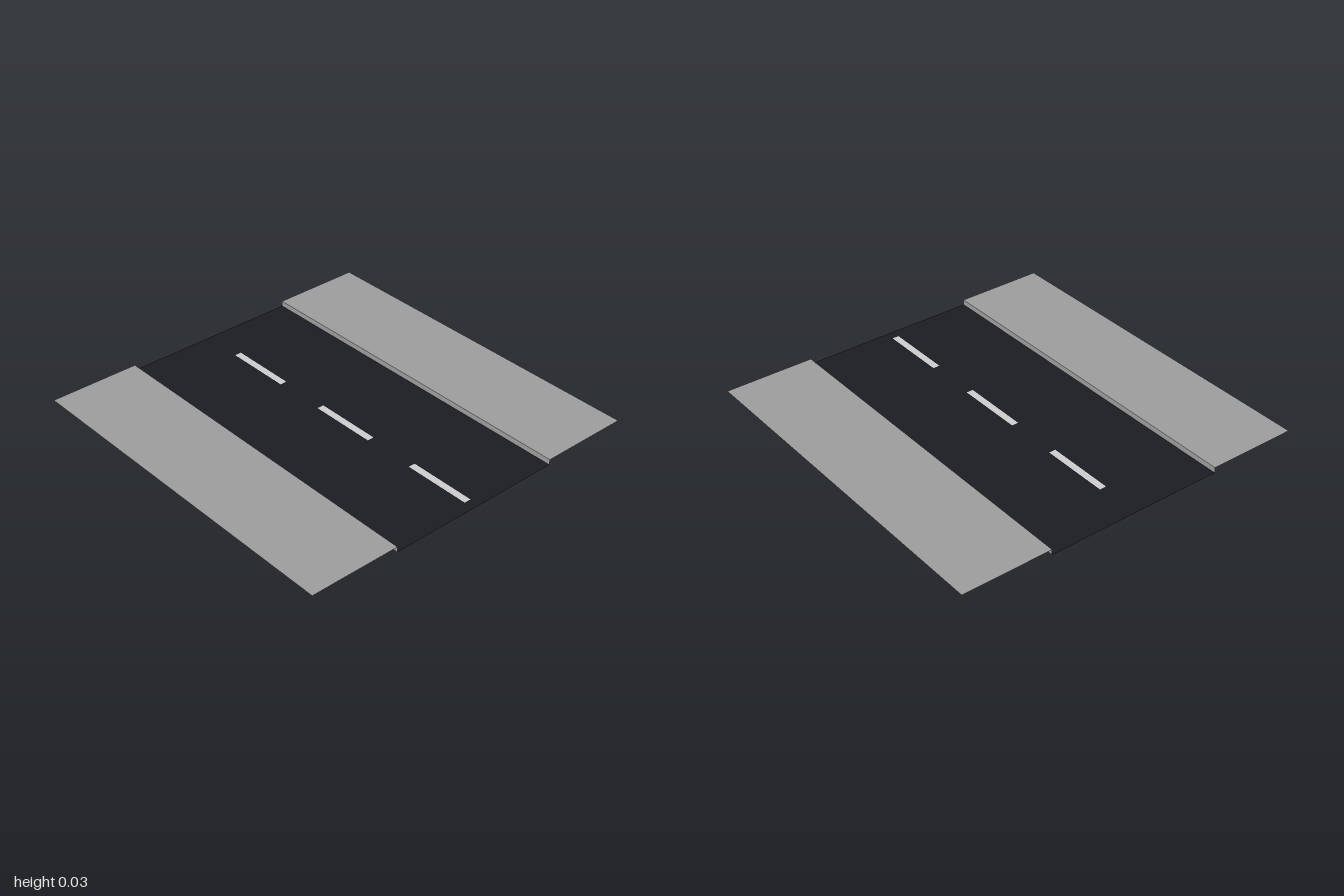
import * as THREE from 'three';

const material = (color) => new THREE.MeshStandardMaterial({ color, side: THREE.DoubleSide });

export function createModel() {
  const model = new THREE.Group();
  const asphalt = material(0x1a1c22);
  const paving = material(0x9c9c9c);
  const paint = material(0xcccccc);

  const kerbHeight = 0.03;
  const roadHalf = 0.5;

  // Flat sheet facing up
  function sheet(name, width, depth, x, y, z, mat) {
    const geometry = new THREE.PlaneGeometry(width, depth).rotateX(-Math.PI / 2);
    const mesh = new THREE.Mesh(geometry, mat);
    mesh.name = name;
    mesh.position.set(x, y, z);
    model.add(mesh);
  }

  // Road surface
  sheet('road', 2, roadHalf * 2, 0, 0, 0, asphalt);

  // Raised pavements with a kerb face towards the road
  for (const side of [-1, 1]) {
    const label = side > 0 ? 'front' : 'back';
    sheet(label + 'Pavement', 2, 1 - roadHalf, 0, kerbHeight, side * (1 + roadHalf) / 2, paving);

    const kerb = new THREE.Mesh(new THREE.PlaneGeometry(2, kerbHeight), paving);
    kerb.name = label + 'Kerb';
    kerb.position.set(0, kerbHeight / 2, side * roadHalf);
    if (side > 0) kerb.rotation.y = Math.PI;
    model.add(kerb);
  }

  // Dashed centre line
  for (let i = 0; i < 3; i++) {
    sheet('laneDash' + (i + 1), 0.376, 0.038, -0.578 + i * 0.667, 0.002, 0, paint);
  }

  return model;
}
